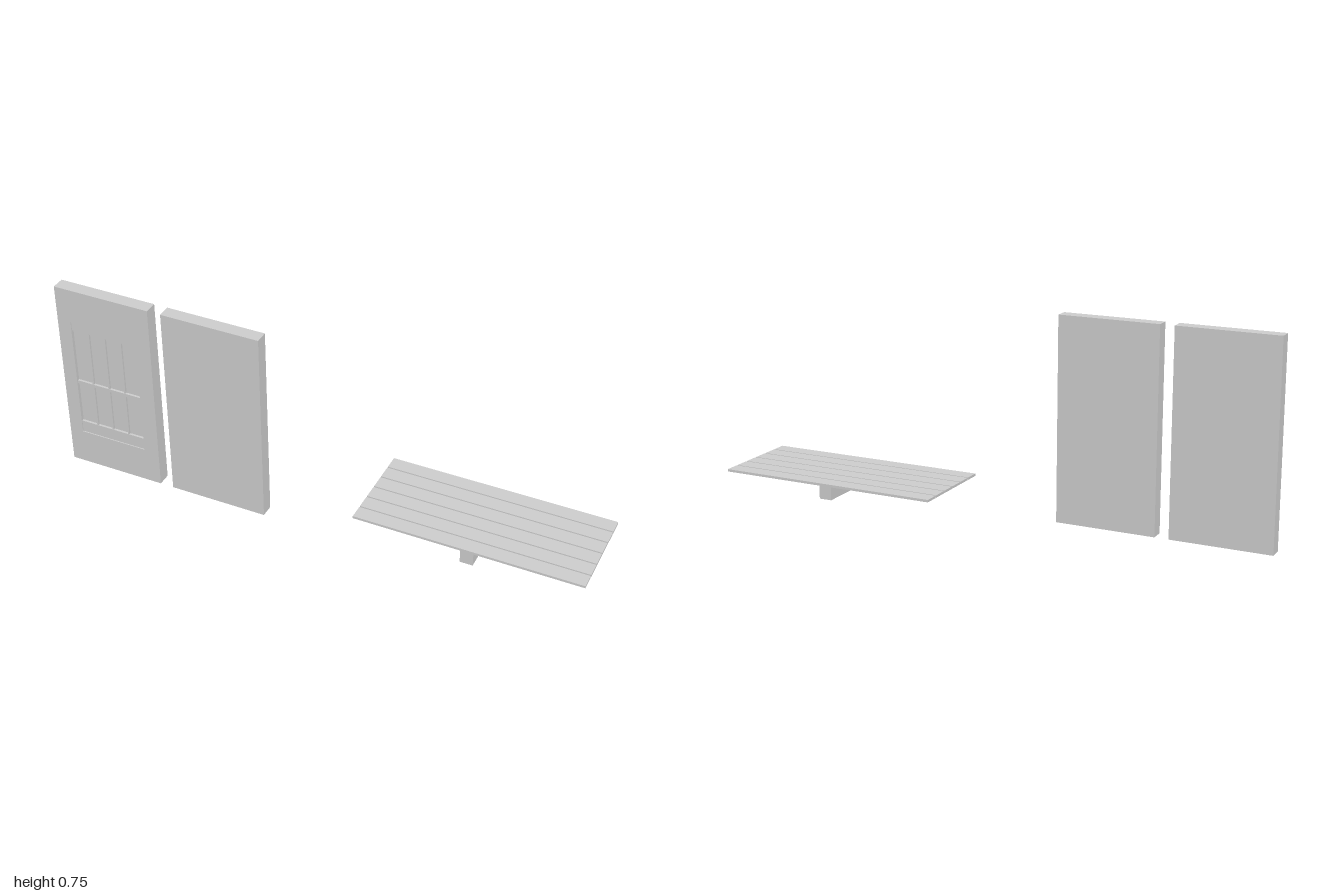
import * as THREE from 'three';

const material = new THREE.MeshStandardMaterial({ color: 0xcccccc, flatShading: true });

export function createModel() {
  const model = new THREE.Group();

  const add = (name, geometry, parent) => {
    const mesh = new THREE.Mesh(geometry, material);
    mesh.name = name;
    parent.add(mesh);
    return mesh;
  };
  // Box given by its minimum and maximum corners
  const box = (name, [x0, y0, z0], [x1, y1, z1], parent) => {
    const mesh = add(name, new THREE.BoxGeometry(x1 - x0, y1 - y0, z1 - z0), parent);
    mesh.position.set((x0 + x1) / 2, (y0 + y1) / 2, (z0 + z1) / 2);
    return mesh;
  };
  const points = (list) => list.map(([x, y]) => new THREE.Vector2(x, y));
  const extrude = (name, shape, z0, z1, parent) => {
    const geometry = new THREE.ExtrudeGeometry(shape, { depth: z1 - z0, bevelEnabled: false });
    add(name, geometry, parent).position.z = z0;
  };

  const back = 0.13, front = 0.18, recess = 0.167, top = 0.755;
  const left = -0.947, right = -0.684, mid = (left + right) / 2;

  // Wall panel with a shallow arched window recess
  const windowWall = new THREE.Group();
  windowWall.name = 'windowWall';
  model.add(windowWall);
  const arch = [[right, 0.62], [-0.746, 0.665], [-0.785, 0.677], [mid, 0.682],
    [-0.846, 0.677], [-0.885, 0.665], [left, 0.62]];
  const face = new THREE.Shape(points([[-1, 0], [-0.625, 0], [-0.625, top], [-1, top]]));
  face.holes.push(new THREE.Path(points([[left, 0.138], [right, 0.138], ...arch])));
  extrude('wallFace', face, recess, front, windowWall);
  box('wallCore', [-1, 0, back], [-0.625, top, recess], windowWall);

  // Window frame: arched head, sill rail, transom and upright bars
  const rail = 0.176;
  extrude('archedHead', new THREE.Shape(points([[left, 0.585], [right, 0.585], ...arch])),
    recess, rail, windowWall);
  box('sillRail', [left, 0.138, recess], [right, 0.185, rail], windowWall);
  box('transom', [left, 0.355, recess], [right, 0.367, rail], windowWall);
  for (let i = 1; i < 4; i++) {
    const x = left + (right - left) * i / 4;
    box('uprightBar', [x - 0.003, 0.185, recess], [x + 0.003, 0.585, rail - 0.001], windowWall);
  }

  // Plain wall panel
  box('plainWall', [-0.573, 0, back], [-0.198, top, front], model);

  // Plank deck on a single beam
  const deck = new THREE.Group();
  deck.name = 'deck';
  model.add(deck);
  const pitch = 0.0612;
  for (let i = 0; i < 6; i++) {
    const z = (i - 2.5) * pitch;
    box('plank', [0.153, 0.112, z - 0.028], [1, 0.121, z + 0.028], deck);
  }
  box('beam', [0.555, 0.061, -0.175], [0.603, 0.112, 0.18], deck);

  return model;
}
